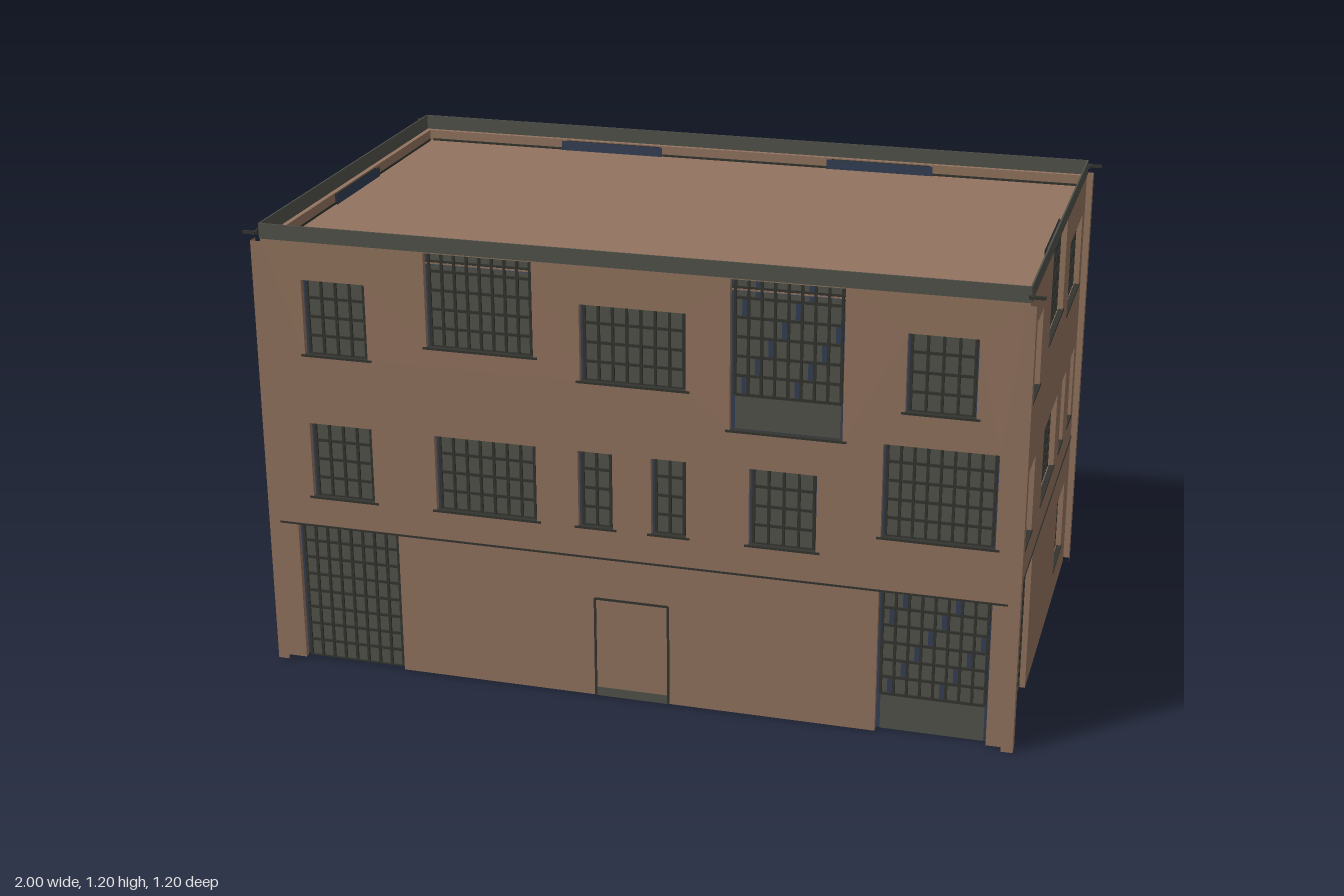
import * as THREE from 'three';
import { mergeGeometries } from 'three/addons/utils/BufferGeometryUtils.js';

const mat = (name, color, side = THREE.FrontSide) => {
  const m = new THREE.MeshStandardMaterial({ color, side });
  m.name = name;
  return m;
};

export function createModel() {
  const brick = mat('brown wall', 0x92735e, THREE.DoubleSide);
  const grey = mat('grey glass and trim', 0x51524a);
  const dark = mat('dark frame', 0x33342f);
  const navy = mat('navy core', 0x333e55, THREE.DoubleSide);

  const model = new THREE.Group();
  model.name = 'building';

  const add = (parent, name, geometry, material) => {
    const mesh = new THREE.Mesh(geometry, material);
    mesh.name = name;
    parent.add(mesh);
  };
  // Thin plate spanning x0..x1, y0..y1, z0..z1
  const slab = (x0, x1, y0, y1, z0, z1) =>
    new THREE.BoxGeometry(x1 - x0, y1 - y0, z1 - z0)
      .translate((x0 + x1) / 2, (y0 + y1) / 2, (z0 + z1) / 2);
  // Flat face at depth z
  const sheet = (x0, x1, y0, y1, z) =>
    new THREE.PlaneGeometry(x1 - x0, y1 - y0).translate((x0 + x1) / 2, (y0 + y1) / 2, z);

  const EAVE = 1.16, TOP = 1.2, ROOF = 1.13;
  const WALL_X = 0.963, WALL_Z = 0.573, POST_X = 0.98, POST_Z = 0.595;
  const THICK = 0.015, RECESS = 0.02, CORE = 0.025;

  // Openings: [x0, x1, y0, y1, height of solid panel at the bottom]
  const longSide = [
    [-0.86, -0.69, 0.86, 1.06], [-0.53, -0.25, 0.91, 1.157], [-0.13, 0.14, 0.86, 1.06],
    [0.25, 0.53, 0.77, 1.157, 0.09], [0.68, 0.85, 0.86, 1.06],
    [-0.86, -0.69, 0.47, 0.675], [-0.52, -0.25, 0.47, 0.675], [-0.14, -0.05, 0.47, 0.675],
    [0.05, 0.14, 0.47, 0.675], [0.3, 0.47, 0.47, 0.675], [0.63, 0.91, 0.53, 0.775],
    [-0.91, -0.63, 0, 0.385], [0.63, 0.91, 0, 0.385, 0.1],
  ];
  const shortSide = [
    [-0.475, -0.3, 0.86, 1.06], [-0.14, 0.14, 0.91, 1.157], [0.25, 0.52, 0.86, 1.06],
    [-0.475, -0.3, 0.47, 0.675], [-0.13, 0.14, 0.47, 0.675], [0.24, 0.33, 0.47, 0.675],
    [0.435, 0.525, 0.47, 0.675],
    [-0.53, -0.245, 0, 0.385], [0.3, 0.47, 0.09, 0.29],
  ];

  // Wall slab with notches for shopfronts and holes for windows
  function wallGeometry(halfW, openings) {
    const s = new THREE.Shape();
    s.moveTo(-halfW, 0);
    openings.filter(o => o[2] === 0).sort((a, b) => a[0] - b[0]).forEach(([x0, x1, , y1]) => {
      s.lineTo(x0, 0);
      s.lineTo(x0, y1);
      s.lineTo(x1, y1);
      s.lineTo(x1, 0);
    });
    s.lineTo(halfW, 0);
    s.lineTo(halfW, EAVE);
    s.lineTo(-halfW, EAVE);
    s.closePath();
    openings.filter(o => o[2] > 0).forEach(([x0, x1, y0, y1]) => {
      const h = new THREE.Path();
      h.moveTo(x0, y0);
      h.lineTo(x0, y1);
      h.lineTo(x1, y1);
      h.lineTo(x1, y0);
      h.closePath();
      s.holes.push(h);
    });
    return new THREE.ExtrudeGeometry(s, { depth: THICK, bevelEnabled: false });
  }

  // Recessed grey pane with navy margin, dark glazing bars and a thin sill
  function addWindow(parent, [x0, x1, y0, y1, panel = 0], wall) {
    const g = new THREE.Group();
    g.name = y0 === 0 ? 'shopfront' : 'window';
    parent.add(g);
    const z = wall - RECESS, m = 0.009, a = x0 + m, b = x1 - m, bottom = y0 + panel, t = 0.0035;
    add(g, 'pane', sheet(a, b, y0, y1, z), grey);
    add(g, 'margin', sheet(x0 - 0.01, x1 + 0.01, y0, y1, z - 0.003), navy);
    const cols = Math.max(2, Math.round((b - a) / 0.034));
    const rows = Math.max(3, Math.round((y1 - bottom) / 0.05));
    const dx = (b - a) / cols, dy = (y1 - bottom) / rows;
    const bars = [], tinted = [];
    for (let i = 0; i <= cols; i++) {
      const x = a + dx * i;
      bars.push(slab(x - t, x + t, bottom, y1, z + 0.001, z + 0.006));
    }
    for (let j = 0; j <= rows; j++) {
      const y = bottom + dy * j;
      bars.push(slab(a, b, Math.max(y - t, y0), Math.min(y + t, y1), z + 0.001, z + 0.005));
    }
    add(g, 'glazingBars', mergeGeometries(bars), dark);
    // Panelled openings have some navy panes
    if (panel > 0) {
      for (let i = 0; i < cols; i++) for (let j = 0; j < rows; j++) {
        if ((i * 3 + j * 5) % 4 === 0) {
          const x = a + dx * i, y = bottom + dy * j;
          tinted.push(sheet(x + dx * 0.5, x + dx, y, y + dy, z + 0.002));
        }
      }
      add(g, 'navyPanes', mergeGeometries(tinted), navy);
    }
    if (y0 > 0) add(g, 'sill', slab(x0 - 0.01, x1 + 0.01, y0 - 0.004, y0 + 0.002, wall - 0.012, wall + 0.002), dark);
  }

  function addFacade(name, turn, openings, halfW, wall, postW, post) {
    const f = new THREE.Group();
    f.name = name;
    f.rotation.y = turn;
    model.add(f);
    add(f, 'wall', wallGeometry(halfW, openings).translate(0, 0, wall - THICK), brick);
    const c = halfW - CORE;
    add(f, 'coreWall', sheet(-c, c, 0, ROOF - 0.006, wall - CORE), navy);
    add(f, 'parapet', slab(-halfW - 0.002, halfW + 0.002, EAVE, TOP, wall - 0.002, wall + 0.002), grey);
    add(f, 'roofEdge', slab(-c, c, ROOF, ROOF + 0.006, wall - THICK - 0.003, wall - THICK - 0.001), dark);
    // Belt line above the ground floor
    add(f, 'beltLine', slab(-halfW, halfW, 0.386, 0.391, wall - 0.002, wall + 0.002), dark);
    // Thin corner strips standing clear of the wall
    for (const s of [-1, 1]) {
      const x = s * (postW - 0.015);
      add(f, 'cornerStrip', sheet(x - 0.015, x + 0.015, 0, EAVE, post), brick);
    }
    openings.forEach(o => addWindow(f, o, wall));
    return f;
  }

  const long = [WALL_X, WALL_Z, POST_X, POST_Z], short = [WALL_Z, WALL_X, POST_Z, POST_X];
  const front = addFacade('frontFacade', 0, longSide, ...long);
  addFacade('backFacade', Math.PI, [...longSide, [-0.09, 0.085, 0.09, 0.29]], ...long);
  addFacade('leftFacade', Math.PI / 2, shortSide, ...short);
  addFacade('rightFacade', -Math.PI / 2, shortSide, ...short);

  // Front door: dark outline and grey threshold
  const z = WALL_Z, e = 0.003;
  add(front, 'doorOutline', mergeGeometries([
    slab(-0.1 - e, -0.1 + e, 0, 0.275, z, z + 0.002),
    slab(0.093 - e, 0.093 + e, 0, 0.275, z, z + 0.002),
    slab(-0.1, 0.093, 0.275 - e, 0.275 + e, z, z + 0.002),
  ]), dark);
  add(front, 'doorThreshold', slab(-0.097, 0.09, 0, 0.024, z, z + 0.002), grey);

  // Flat roof with a navy ceiling beneath
  const rx = WALL_X - THICK, rz = WALL_Z - THICK;
  add(model, 'roof', slab(-rx, rx, ROOF - 0.004, ROOF, -rz, rz), brick);
  add(model, 'ceiling', new THREE.PlaneGeometry(rx * 2, rz * 2)
    .rotateX(Math.PI / 2).translate(0, ROOF - 0.006, 0), navy);

  // Small cornice stubs at the four corners
  for (const sx of [-1, 1]) for (const sz of [-1, 1]) {
    add(model, 'corniceStub', mergeGeometries([
      new THREE.BoxGeometry(0.04, 0.008, 0.006).translate(sx * 0.98, 1.18, sz * 0.592),
      new THREE.BoxGeometry(0.006, 0.008, 0.03).translate(sx * 0.968, 1.18, sz * 0.585),
    ]), dark);
  }
  return model;
}
